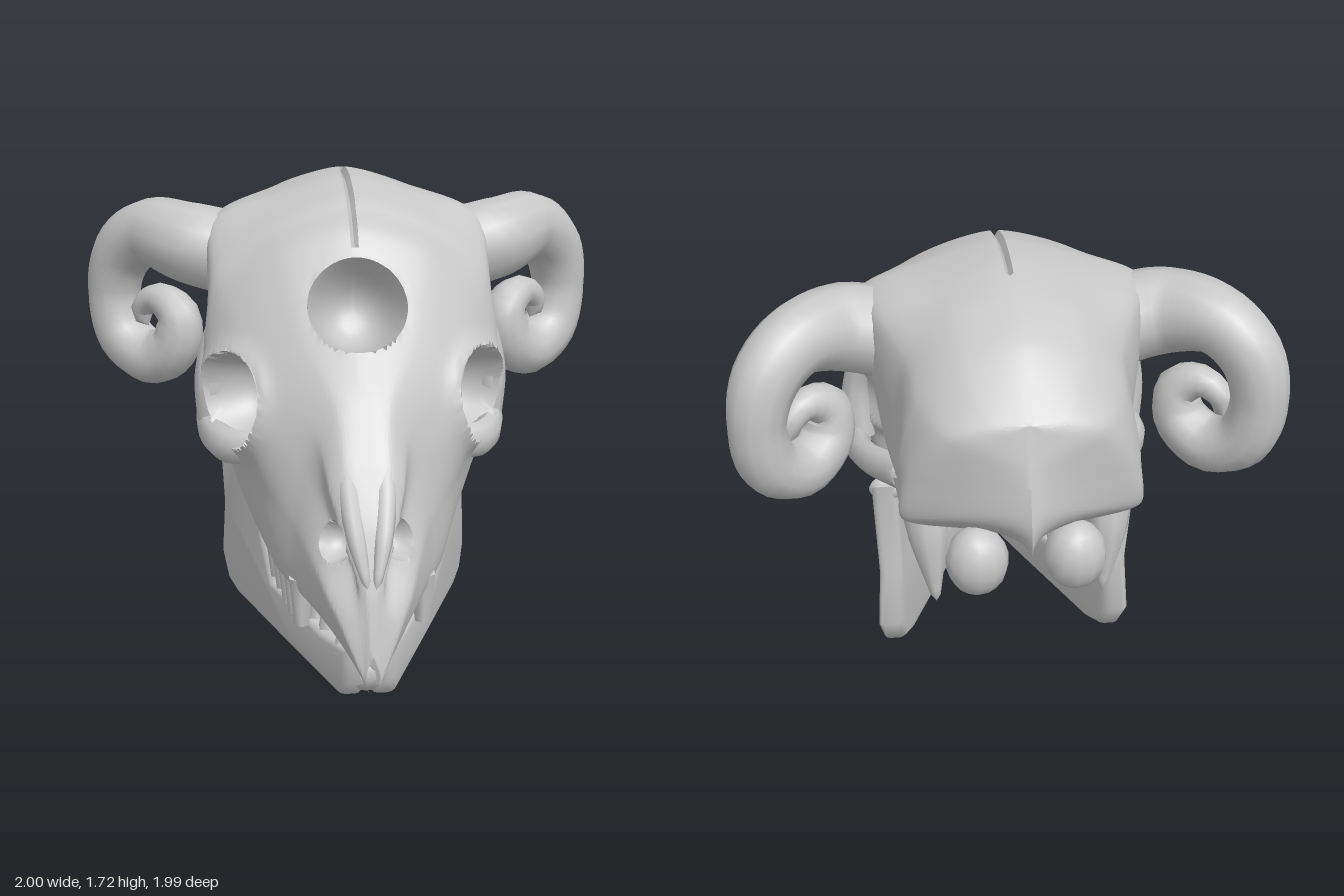
import * as THREE from 'three';
import { toCreasedNormals } from 'three/addons/utils/BufferGeometryUtils.js';

const bone = new THREE.MeshStandardMaterial({ color: 0xc8c8c8 });
bone.name = 'bone';
const V = (x, y, z) => new THREE.Vector3(x, y, z);

// Half cross-sections: z, top y, five (x, y) side points, bottom y
const braincase = [
  [-0.88, 1.43, 0.14, 1.41, 0.26, 1.35, 0.35, 1.17, 0.39, 0.99, 0.18, 0.93, 0.93],
  [-0.68, 1.6, 0.21, 1.54, 0.35, 1.4, 0.42, 1.16, 0.4, 0.97, 0.2, 0.9, 0.9],
  [-0.5, 1.68, 0.22, 1.63, 0.38, 1.48, 0.42, 1.18, 0.4, 0.95, 0.2, 0.87, 0.87],
  [-0.3, 1.73, 0.25, 1.66, 0.47, 1.55, 0.47, 1.22, 0.41, 0.95, 0.2, 0.86, 0.87],
  [-0.1, 1.73, 0.28, 1.66, 0.52, 1.55, 0.48, 1.2, 0.39, 0.95, 0.2, 0.87, 0.88],
  [0.08, 1.69, 0.28, 1.61, 0.51, 1.44, 0.52, 1.15, 0.46, 0.88, 0.2, 0.8, 0.84],
];
const face = [
  [0.15, 1.65, 0.27, 1.57, 0.49, 1.38, 0.55, 1.1, 0.46, 0.74, 0.31, 0.44, 0.58],
  [0.25, 1.58, 0.26, 1.5, 0.45, 1.3, 0.53, 1.03, 0.46, 0.74, 0.31, 0.39, 0.54],
  [0.45, 1.32, 0.2, 1.25, 0.35, 1.1, 0.42, 0.95, 0.36, 0.7, 0.29, 0.37, 0.5],
  [0.6, 1.07, 0.1, 1.05, 0.17, 0.96, 0.21, 0.82, 0.25, 0.6, 0.23, 0.35, 0.46],
  [0.75, 0.87, 0.08, 0.86, 0.13, 0.79, 0.12, 0.66, 0.19, 0.52, 0.17, 0.33, 0.39],
  [0.86, 0.69, 0.05, 0.68, 0.08, 0.62, 0.06, 0.54, 0.15, 0.45, 0.11, 0.28, 0.31],
  [0.94, 0.48, 0.02, 0.48, 0.03, 0.46, 0.05, 0.42, 0.1, 0.35, 0.05, 0.2, 0.2],
];

// Hollows: centre, outward axis, radius, depth, wall steepness, rim height
const hollows = [
  [V(0.46, 1.0, 0.34), V(0.77, 0.05, 0.63), 0.18, 0.24, 3.5, 0.02], // eye
  [V(0, 1.37, 0.42), V(0, 0.52, 0.85), 0.18, 0.24, 3, 0], // brow opening
  [V(0.5, 1.02, -0.06), V(1, 0, 0.1), 0.17, 0.1, 2, 0], // temple
  [V(0.12, 0.62, 0.79), V(0.7, 0.2, 0.65), 0.075, 0.09, 3, 0], // nostril
].map(([c, n, ...rest]) => [c, n.normalize(), ...rest]);

function carve(p) {
  const side = p.x < 0 ? -1 : 1;
  p.x = Math.abs(p.x);
  for (const [c, n, R, depth, power, rim] of hollows) {
    const rel = p.clone().sub(c), h = rel.dot(n);
    if (Math.abs(h) > 0.22) continue;
    rel.addScaledVector(n, -h);
    let d = rel.length();
    if (Math.abs(d - R) < 0.009) { // even out the edge
      p.addScaledVector(rel, R / d - 1);
      d = R;
    }
    let move = rim * Math.exp(-(((d - R) / 0.035) ** 2));
    if (d < R) move -= (depth + h) * (1 - (d / R) ** power);
    p.addScaledVector(n, move);
  }
  // seam along the crown
  if (p.x < 0.003 && p.y > 1.5 && p.z > -0.37 && p.z < 0.27) p.y -= 0.025;
  p.x *= side;
  return p;
}

function skullGeometry() {
  const rings = [...braincase, ...face].map(([z, top, ...r], i) => {
    // the rearmost section leans forward towards its base
    const at = (x, y) => V(x, y, i === 0 ? z + 0.28 * (top - y) : z);
    const half = [at(0, top)];
    for (let k = 0; k < 10; k += 2) half.push(at(r[k], r[k + 1]));
    return [...half, at(0, r[10])];
  });
  // pointed back ridge and beak tip close the ends
  const ridge = [], tip = [];
  for (let k = 0; k < 7; k++) {
    const y = 1.41 - k * 0.075;
    ridge.push(V(0, y, -0.9 - 0.1 * Math.min(1, (1.41 - y) / 0.4)));
    tip.push(V(0.025 * Math.sin((k * Math.PI) / 6), 0.27 - k * 0.028, 0.99));
  }
  rings.unshift(ridge);
  rings.push(tip);

  const M = 180, N = 210;
  const loops = rings.map((half) => {
    const mirror = half.slice(1, 6).reverse().map((p) => V(-p.x, p.y, p.z));
    const curve = new THREE.CatmullRomCurve3([...half, ...mirror], true, 'catmullrom', 0.4);
    return Array.from({ length: M }, (_, j) => curve.getPoint(j / M));
  });
  const pos = [], index = [];
  const lines = Array.from({ length: M }, (_, j) =>
    new THREE.CatmullRomCurve3(loops.map((l) => l[j]), false, 'catmullrom', 0.4));
  for (let i = 0; i <= N; i++) {
    for (let j = 0; j < M; j++) {
      pos.push(...carve(lines[j].getPoint(i / N)).toArray());
      if (i === N) continue;
      const a = i * M + j, b = i * M + ((j + 1) % M);
      if (j < M / 2) index.push(a, a + M, b + M, a, b + M, b);
      else index.push(a, a + M, b, b, a + M, b + M);
    }
  }
  const g = new THREE.BufferGeometry();
  g.setAttribute('position', new THREE.Float32BufferAttribute(pos, 3));
  g.setIndex(index);
  return toCreasedNormals(g, 0.7);
}

// Tube whose radius follows the fourth number of each point, stretched upright by tall
function taper(points, steps = 20, sides = 9, tall = 1) {
  const curve = new THREE.CatmullRomCurve3(points.map((p) => V(p[0], p[1], p[2])));
  const g = new THREE.TubeGeometry(curve, steps, 1, sides);
  const pos = g.attributes.position, p = V();
  for (let i = 0; i <= steps; i++) {
    const c = curve.getPointAt(i / steps);
    const t = curve.getUtoTmapping(i / steps) * (points.length - 1);
    const k = Math.min(points.length - 2, Math.floor(t));
    let r = THREE.MathUtils.lerp(points[k][3], points[k + 1][3], t - k);
    if (i === 0 || i === steps) r = 0.0005; // closed ends
    for (let j = 0; j <= sides; j++) {
      const id = i * (sides + 1) + j;
      p.fromBufferAttribute(pos, id).sub(c).multiplyScalar(r);
      pos.setXYZ(id, c.x + p.x, c.y + p.y * tall, c.z + p.z);
    }
  }
  return toCreasedNormals(g, 0.9);
}

function mirrored(geometry) {
  const g = geometry.index ? geometry.toNonIndexed() : geometry.clone();
  g.scale(-1, 1, 1);
  for (const a of [g.attributes.position, g.attributes.normal]) {
    for (let i = 0; i < a.count; i += 3) {
      const b = [a.getX(i + 1), a.getY(i + 1), a.getZ(i + 1)];
      a.setXYZ(i + 1, a.getX(i + 2), a.getY(i + 2), a.getZ(i + 2));
      a.setXYZ(i + 2, ...b);
    }
  }
  return g;
}

// Lower jaw half: side outline, slanted inwards towards the chin
const jawX = (z) => 0.44 - 0.4 * (z + 0.2);
function jawGeometry() {
  const outline = [[0.74, 0.035], [0.4, 0.045], [-0.08, 0.065], [-0.16, 0.09], [-0.21, 0.18], [-0.18, 0.4],
    [-0.23, 0.8], [-0.19, 0.8], [-0.17, 0.69], [-0.03, 0.67], [0.0, 0.78], [0.04, 0.74],
    [0.08, 0.52], [0.13, 0.36], [0.21, 0.2], [0.62, 0.17], [0.79, 0.19], [0.785, 0.09]];
  const shape = new THREE.Shape(outline.map(([z, y]) => new THREE.Vector2(z, y)));
  const g = new THREE.ExtrudeGeometry(shape, {
    depth: 0.035, bevelThickness: 0.03, bevelSize: 0.025, bevelSegments: 3 });
  g.rotateY(-Math.PI / 2).translate(0.0175, 0, 0);
  const pos = g.attributes.position;
  for (let i = 0; i < pos.count; i++) pos.setX(i, pos.getX(i) + jawX(pos.getZ(i)));
  return toCreasedNormals(g, 0.9);
}

export function createModel() {
  const model = new THREE.Group();
  model.name = 'hornedSkull';
  const add = (name, g) => {
    const m = new THREE.Mesh(g, bone);
    m.name = name;
    model.add(m);
  };
  const pair = (name, g) => {
    add(name + 'Left', g);
    add(name + 'Right', mirrored(g));
  };
  const knob = (x, y, z, rx, ry, rz) =>
    new THREE.SphereGeometry(1, 12, 9).scale(rx, ry, rz).translate(x, y, z);

  add('skull', skullGeometry());

  // Curled horns, rooted in the skull, each in its own slanted upright plane
  const spiral = [[-0.22, 0.33, 0.16], [0, 0.35, 0.13], [0.14, 0.25, 0.12],
    [0.19, 0.08, 0.105], [0.14, -0.09, 0.11], [0, -0.155, 0.11], [-0.12, -0.08, 0.1],
    [-0.13, 0.04, 0.085], [-0.03, 0.09, 0.06], [0.05, 0.03, 0.045], [0.02, -0.03, 0.03]];
  const curl = spiral.map(([u, v, r]) => [0.75 + 0.78 * u, 1.13 + v, -0.325 - 0.62 * u, r]);
  pair('horn', taper([[0.34, 1.4, -0.17, 0.17], ...curl], 48, 12));

  // Cheek arches and bars behind the eyes
  pair('cheekArch', taper([[0.3, 0.83, 0.38, 0.04], [0.47, 0.81, 0.29, 0.05], [0.535, 0.83, 0.1, 0.05],
    [0.51, 0.87, -0.1, 0.045], [0.37, 0.93, -0.36, 0.05]], 24, 9, 1.4));
  pair('eyeBar', taper([[0.36, 1.42, 0.05, 0.08], [0.525, 1.08, 0.12, 0.055], [0.52, 0.82, 0.11, 0.06]]));
  // Prongs of the nose bone
  pair('nosePoint', taper([[0.05, 0.93, 0.62, 0.05], [0.06, 0.79, 0.755, 0.045],
    [0.045, 0.65, 0.86, 0.035], [0.015, 0.5, 0.94, 0.012]]));
  // Struts under the palate, spikes and knobs at the back of the base
  pair('palateStrut', taper([[0.2, 0.92, -0.06, 0.05], [0.17, 0.77, 0.08, 0.035], [0.22, 0.52, 0.2, 0.04]]));
  pair('baseSpike', taper([[0.33, 1.08, -0.56, 0.11], [0.32, 0.84, -0.65, 0.07], [0.3, 0.6, -0.69, 0.012]]));
  pair('neckKnob', knob(0.17, 0.87, -0.85, 0.11, 0.13, 0.1));

  // Lower jaw
  pair('lowerJaw', jawGeometry());
  pair('jawJoint', knob(0.44, 0.79, -0.21, 0.07, 0.05, 0.04));
  add('chin', knob(0, 0.11, 0.7, 0.12, 0.1, 0.12));

  // Teeth
  for (let i = 0; i < 5; i++) {
    const z = 0.24 + i * 0.085, length = 0.14 + i * 0.012;
    const upper = new THREE.CylinderGeometry(0.05, 0.03, length, 6);
    pair('upperTooth' + i, upper.translate(0.29 - 0.2 * (z - 0.24), 0.4 - length / 2, z));
    const lower = new THREE.CylinderGeometry(0.02, 0.035, 0.1, 6);
    pair('lowerTooth' + i, lower.translate(jawX(z), 0.23, z));
  }
  for (let i = 0; i < 2; i++) {
    const g = new THREE.ConeGeometry(0.035, 0.15, 6);
    pair('frontTooth' + i, g.translate(0.035 + i * 0.05, 0.24, 0.78 - i * 0.06));
  }
  return model;
}
